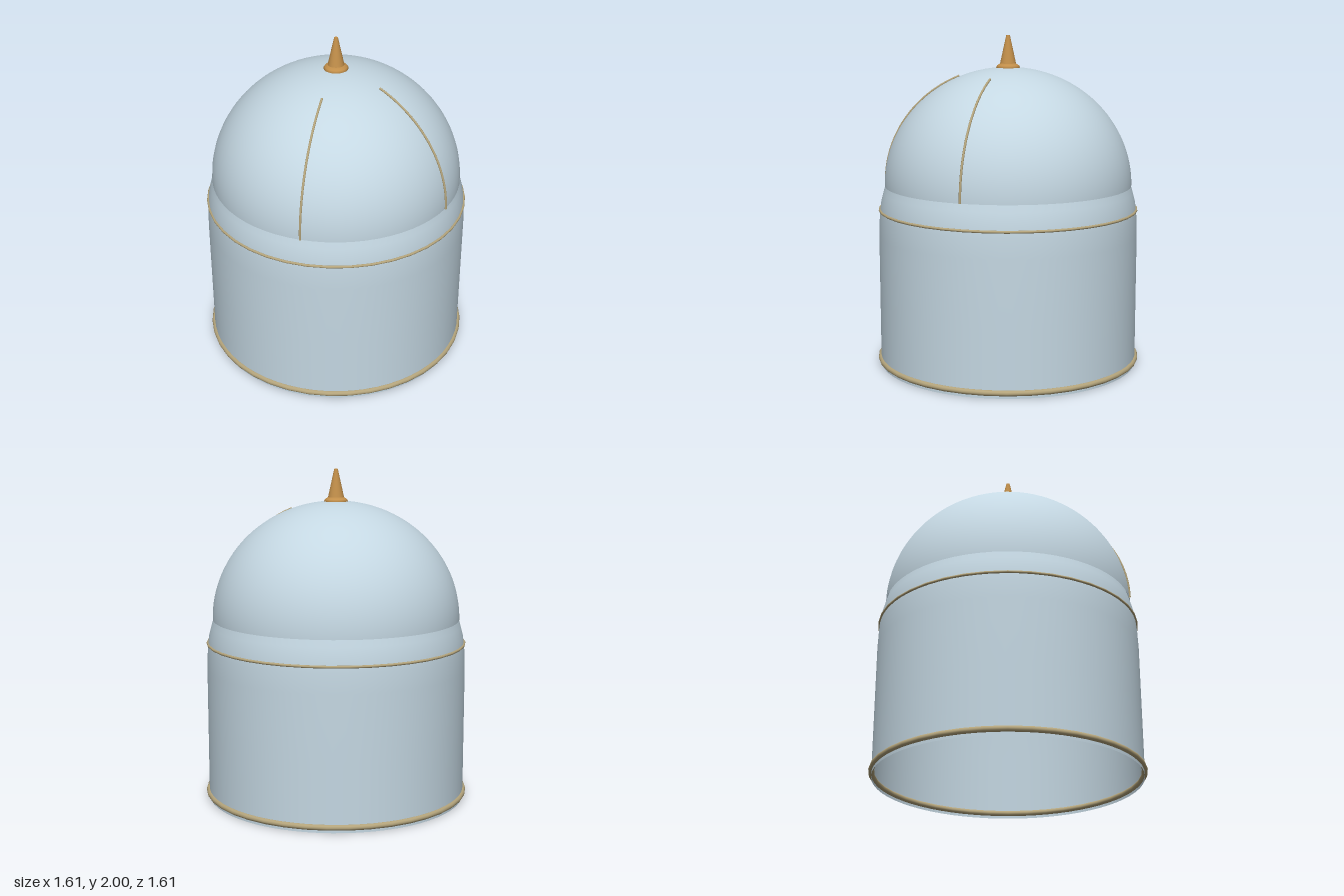
import * as THREE from 'three';

const steel = new THREE.MeshStandardMaterial({ name: 'paleBlueSteel', color: 0xc4d7e2, side: THREE.DoubleSide });
const trim = new THREE.MeshStandardMaterial({ name: 'paleBrassTrim', color: 0xb5a57c });
const copper = new THREE.MeshStandardMaterial({ name: 'copper', color: 0xc28f4a });

const DOME_R = 0.75, DOME_H = 0.71, DOME_Y = 1.1;

export function createModel() {
  const model = new THREE.Group();
  model.name = 'domedShell';
  const add = (name, geometry, material, y = 0) => {
    const mesh = new THREE.Mesh(geometry, material);
    mesh.name = name;
    mesh.position.y = y;
    model.add(mesh);
    return mesh;
  };
  const profile = (pts) => pts.map(([r, y]) => new THREE.Vector2(r, y));

  // Open-bottomed wall with a shoulder that tucks in under the dome
  add('wall', new THREE.LatheGeometry(profile([
    [0.788, 0], [0.788, 0.4], [0.788, 0.8], [0.783, 0.92], [0.774, 1.0], [0.758, 1.06], [0.738, 1.13],
  ]), 64), steel);

  // Slightly flattened dome
  const dome = new THREE.SphereGeometry(DOME_R, 64, 32, 0, Math.PI * 2, 0, Math.PI / 2);
  add('dome', dome.scale(1, DOME_H / DOME_R, 1), steel, DOME_Y);

  // Trim rings at the rim and below the shoulder
  const ring = (name, radius, tube, y) =>
    add(name, new THREE.TorusGeometry(radius, tube, 10, 40).rotateX(Math.PI / 2), trim, y);
  ring('rimRing', 0.789, 0.017, 0.033);
  ring('shoulderRing', 0.782, 0.008, 0.955);

  // Thin ribs following the dome on the front
  for (const [name, degrees] of [['leftRib', 33.7], ['rightRib', -39.4]]) {
    const a = THREE.MathUtils.degToRad(degrees);
    const points = [];
    for (let i = 0; i <= 12; i++) {
      const e = THREE.MathUtils.degToRad(i * 67 / 12);
      const r = (DOME_R + 0.003) * Math.cos(e);
      points.push(new THREE.Vector3(r * Math.sin(a), DOME_Y + (DOME_H + 0.003) * Math.sin(e), r * Math.cos(a)));
    }
    add(name, new THREE.TubeGeometry(new THREE.CatmullRomCurve3(points), 40, 0.007, 8), trim);
  }

  // Finial: low collar and tapered spike
  add('finialCollar', new THREE.LatheGeometry(profile(
    [[0, 1.795], [0.066, 1.795], [0.073, 1.808], [0.066, 1.82], [0.048, 1.832], [0, 1.832]]), 32), copper);
  add('finialSpike', new THREE.CylinderGeometry(0.011, 0.053, 0.19, 32), copper, 1.905);

  return model;
}
